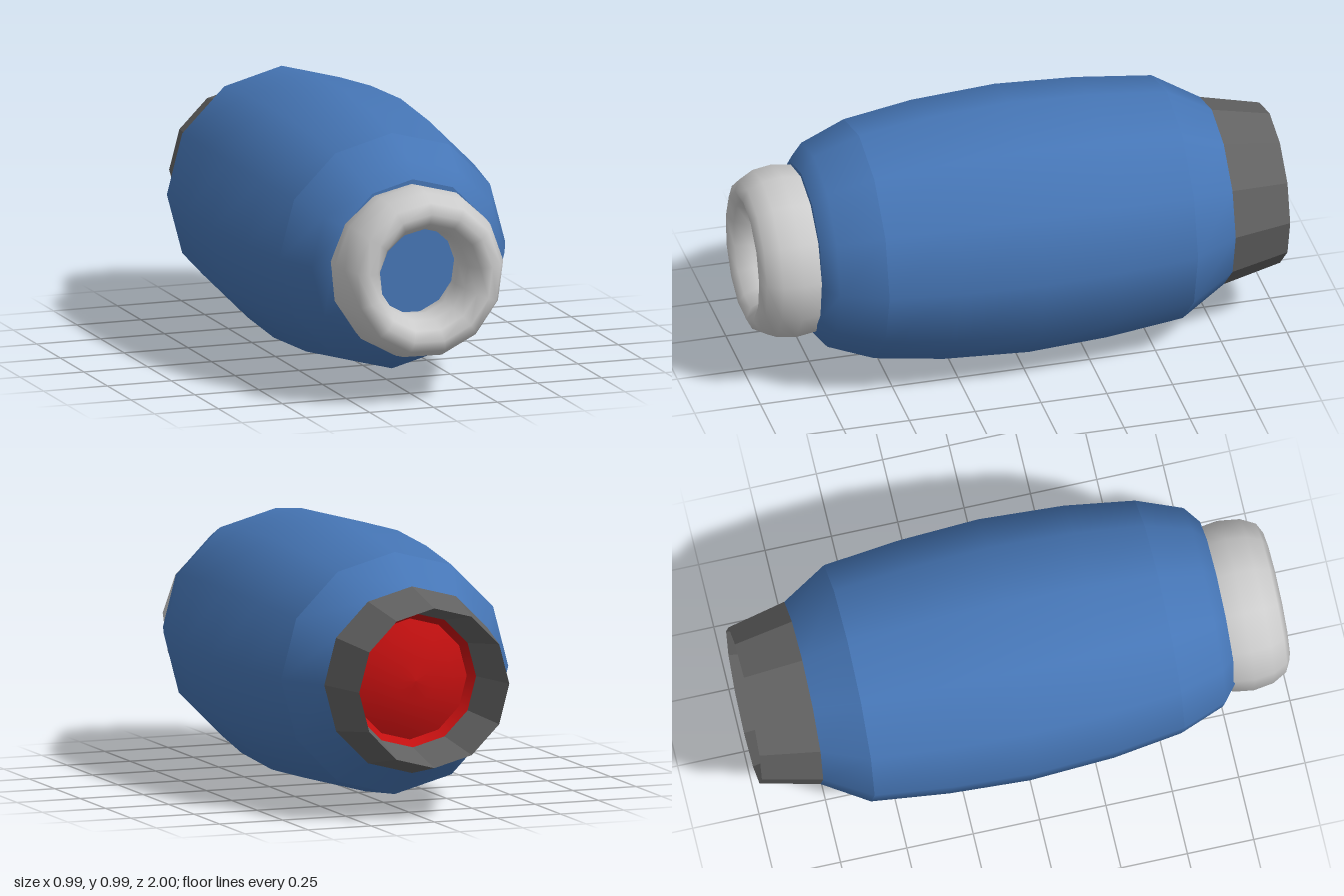
import * as THREE from 'three';

const SIDES = 12;

// Lathe around the z axis; points are [radius, z], listed so that faces point outward
function turned(name, points, material) {
  const profile = points.map(([r, z]) => new THREE.Vector2(r, z));
  const geometry = new THREE.LatheGeometry(profile, SIDES).rotateX(Math.PI / 2);
  const mesh = new THREE.Mesh(geometry, material);
  mesh.name = name;
  mesh.position.y = 0.5;
  return mesh;
}

export function createModel() {
  const model = new THREE.Group();
  model.name = 'engine';

  const blue = new THREE.MeshStandardMaterial({ color: 0x4676b6 });
  const grey = new THREE.MeshStandardMaterial({ color: 0xcccccc });
  const dark = new THREE.MeshStandardMaterial({ color: 0x626262, flatShading: true });
  const red = new THREE.MeshStandardMaterial({ color: 0xc41010 });

  // Barrel casing, split into sections where the surface creases
  const casing = new THREE.Group();
  casing.name = 'casing';
  casing.add(
    turned('rearTaper', [[0.25, -0.78], [0.347, -0.78], [0.45, -0.61]].slice(1), blue),
    turned('barrel', [[0.45, -0.61], [0.482, -0.32], [0.497, -0.02], [0.48, 0.3], [0.443, 0.56]], blue),
    turned('frontTaper', [[0.443, 0.56], [0.378, 0.73], [0.315, 0.78]], blue),
    turned('frontCap', [[0.315, 0.78], [0, 0.78]], blue),
  );
  model.add(casing);

  // Intake ring, a torus stretched along the axis
  const ring = new THREE.Mesh(new THREE.TorusGeometry(0.243, 0.08, 12, 13), grey);
  ring.name = 'intakeRing';
  ring.rotation.z = THREE.MathUtils.degToRad(89);
  ring.scale.z = 0.15 / 0.08;
  ring.position.set(-0.01, 0.485, 0.85);
  model.add(ring);

  // Exhaust nozzle: faceted inner funnel and outer wall meeting at a sharp rim
  model.add(turned('nozzle', [[0.25, -0.79], [0.297, -1], [0.347, -0.78]], dark));

  // Glowing exhaust core: shallow dome with a small lip around it
  model.add(turned('exhaustCore', [[0, -0.82], [0.08, -0.812], [0.16, -0.79], [0.225, -0.76]], red));
  model.add(turned('exhaustLip', [[0.225, -0.76], [0.25, -0.79]], red));

  return model;
}
